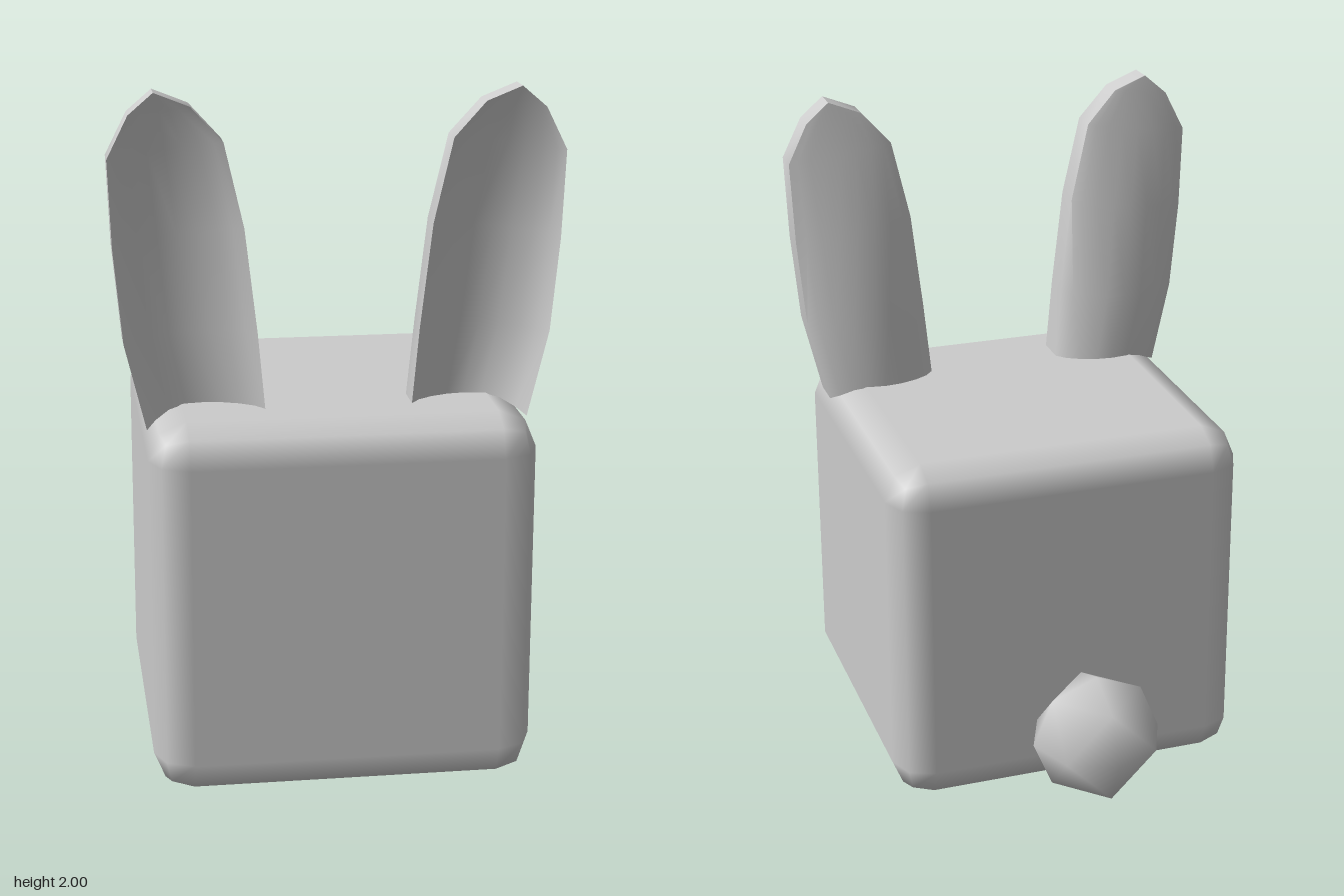
import * as THREE from 'three';
import { toCreasedNormals } from 'three/addons/utils/BufferGeometryUtils.js';
import { RoundedBoxGeometry } from 'three/addons/geometries/RoundedBoxGeometry.js';

const material = new THREE.MeshStandardMaterial({ color: 0xcccccc });

function part(name, geometry, x = 0, y = 0, z = 0) {
  const mesh = new THREE.Mesh(geometry, material);
  mesh.name = name;
  mesh.position.set(x, y, z);
  return mesh;
}

// Ear sections from base to tip: inner x, y, outer x, y, rim back z, back bulge, front hollow
const EAR_ROWS = [
  [0.21, 1.1, 0.545, 1.1, 0.44, 0.075, 0.09],
  [0.23, 1.32, 0.605, 1.3, 0.45, 0.085, 0.085],
  [0.265, 1.62, 0.63, 1.57, 0.45, 0.05, 0.07],
  [0.32, 1.86, 0.64, 1.82, 0.455, 0.02, 0.04],
  [0.41, 1.96, 0.58, 1.94, 0.46, 0.005, 0.01],
  [0.51, 2.0, 0.51, 2.0, 0.46, 0, 0],
];
const ACROSS = [0, 0.08, 0.2, 0.35, 0.5, 0.65, 0.8, 0.92, 1];
const RIM_FRONT = 0.54;

// Cupped ear: side is 1 for the left ear, -1 for the right
function earGeometry(side) {
  const m = ACROSS.length, n = 2 * m;
  const positions = [], index = [];
  const tri = (a, b, c) => (side > 0 ? index.push(a, b, c) : index.push(a, c, b));

  EAR_ROWS.forEach(([xi, yi, xo, yo, back, bulge, hollow], row) => {
    for (let k = 0; k < n; k++) {
      const isFront = k < m;
      const t = ACROSS[isFront ? k : n - 1 - k];
      const curve = Math.pow(Math.max(0, Math.sin(Math.PI * t)), 0.65);
      const x = THREE.MathUtils.lerp(xi, xo, t);
      let y = THREE.MathUtils.lerp(yi, yo, t);
      // the base follows the rounded edge of the body
      if (row === 0) y -= 0.05 * Math.pow(Math.max(0, (x - 0.44) / 0.105), 1.5);
      const z = isFront ? RIM_FRONT - hollow * curve : back - bulge * curve;
      positions.push(side * x, y, z);
    }
  });

  for (let r = 0; r < EAR_ROWS.length - 1; r++) {
    for (let k = 0; k < n; k++) {
      const a = r * n + k, b = r * n + ((k + 1) % n);
      tri(a, b, b + n);
      if (r < EAR_ROWS.length - 2) tri(a, b + n, a + n);
      else if (k === m - 1 || k === n - 1) tri(a, b + n, a + n);
    }
  }
  // underside
  for (let k = 0; k < m - 1; k++) {
    tri(k, n - 1 - k, k + 1);
    tri(k + 1, n - 1 - k, n - 2 - k);
  }

  const geometry = new THREE.BufferGeometry();
  geometry.setAttribute('position', new THREE.Float32BufferAttribute(positions, 3));
  geometry.setIndex(index);
  return toCreasedNormals(geometry, 0.8);
}

export function createModel() {
  const model = new THREE.Group();
  model.name = 'rabbitCube';
  model.add(
    part('body', new RoundedBoxGeometry(1.1, 1.1, 1.1, 1, 0.11), 0, 0.55, 0.2),
    part('tail', new THREE.OctahedronGeometry(0.197, 1), 0, 0.28, -0.553),
    part('leftEar', earGeometry(1)),
    part('rightEar', earGeometry(-1)),
  );
  return model;
}
